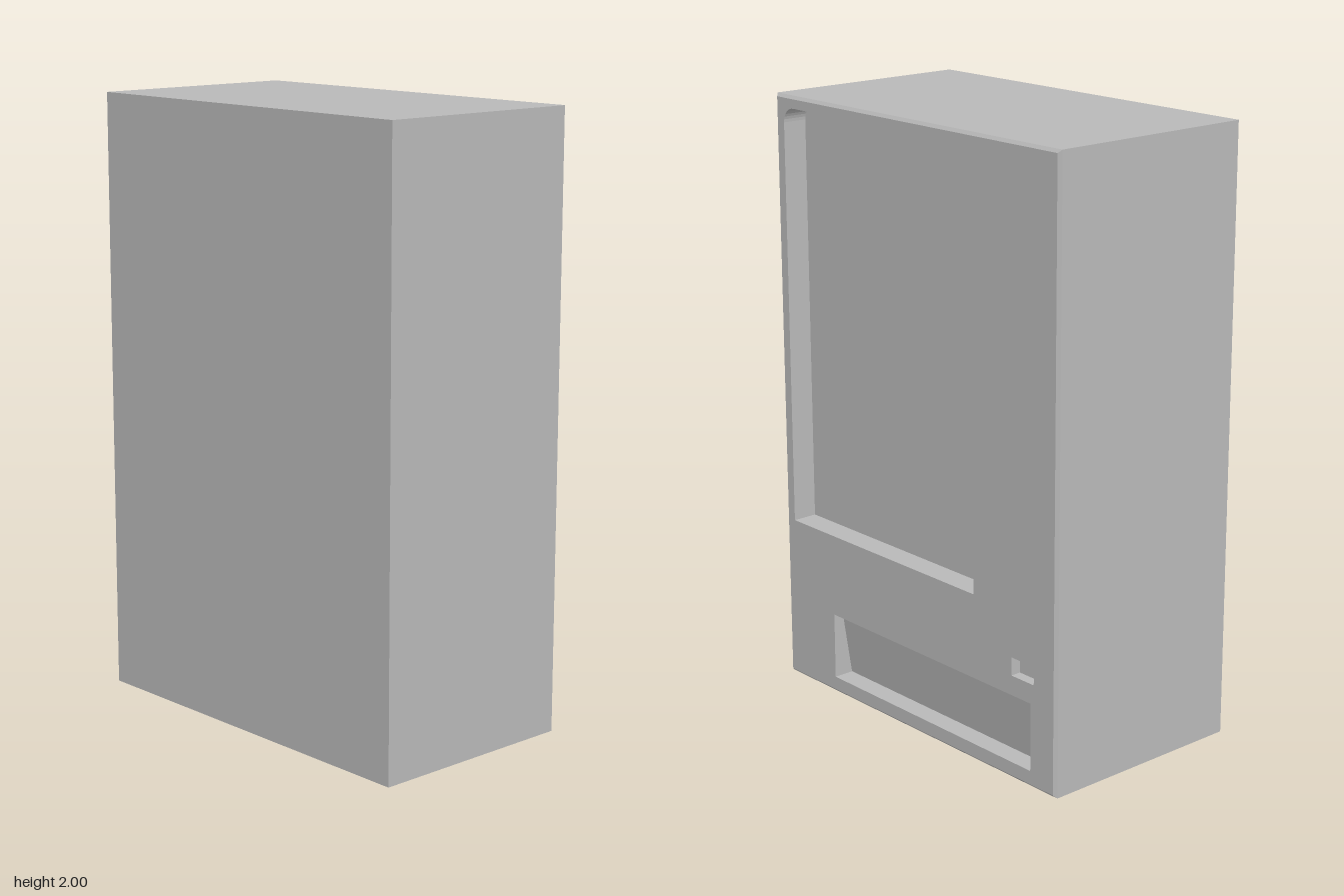
import * as THREE from 'three';

const W = 0.665, H = 2, D = 0.3675, BEVEL = 0.01;

// Outline of a panel, counter-clockwise, with optional rounded top corners
function outline(x0, x1, y0, y1, r = 0) {
  const pts = [[x0, y0], [x1, y0]];
  if (!r) return [...pts, [x1, y1], [x0, y1]];
  const steps = 8;
  for (const [cx, start] of [[x1 - r, 0], [x0 + r, Math.PI / 2]]) {
    for (let i = 0; i <= steps; i++) {
      const a = start + (i / steps) * Math.PI / 2;
      pts.push([cx + r * Math.cos(a), y1 - r + r * Math.sin(a)]);
    }
  }
  return pts;
}

// Joins rings of points with walls and closes the last ring with a cap
function loft(rings) {
  const pos = [];
  const tri = (...corners) => corners.forEach((p) => pos.push(...p));
  const n = rings[0].length;
  for (let k = 0; k < rings.length - 1; k++) {
    for (let i = 0; i < n; i++) {
      const j = (i + 1) % n;
      const a = rings[k][i], b = rings[k][j], c = rings[k + 1][i], d = rings[k + 1][j];
      tri(a, c, b);
      tri(b, c, d);
    }
  }
  const last = rings[rings.length - 1];
  for (let i = 1; i < n - 1; i++) tri(last[0], last[i + 1], last[i]);
  const geometry = new THREE.BufferGeometry();
  geometry.setAttribute('position', new THREE.Float32BufferAttribute(pos, 3));
  geometry.computeVertexNormals();
  return geometry;
}

const atZ = (pts, z) => pts.map(([x, y]) => [x, y, z]);

export function createModel() {
  const group = new THREE.Group();
  const grey = new THREE.MeshStandardMaterial({ color: 0xb8b8b8 });
  grey.name = 'cabinet grey';

  // Detailed face is modelled towards local +z, then turned to the back
  const cabinet = new THREE.Group();
  cabinet.name = 'cabinet';
  cabinet.rotation.y = Math.PI;
  group.add(cabinet);

  const add = (name, geometry) => {
    const mesh = new THREE.Mesh(geometry, grey);
    mesh.name = name;
    cabinet.add(mesh);
  };

  // Case with a narrow bevel around the service face
  const full = outline(-W, W, 0, H);
  const inset = outline(-W + BEVEL, W - BEVEL, BEVEL, H - BEVEL);
  add('case', loft([atZ(inset, D), atZ(full, D - BEVEL), atZ(full, -D)]));

  // Recesses: outline, depth at the bottom, depth at the top
  const recesses = [
    ['displayRecess', [-0.622, 0.29, 0.56, 1.96, 0.05], 0.085, 0.085],
    ['dispenserTray', [-0.416, 0.553, 0.055, 0.28], 0.07, 0.035],
    ['coinReturn', [0.466, 0.567, 0.345, 0.405], 0.035, 0.035],
  ];

  const toShape = (pts, Type) => new Type(pts.map(([x, y]) => new THREE.Vector2(x, y)));
  const face = toShape(inset, THREE.Shape);
  for (const [name, box, low, high] of recesses) {
    const rim = outline(...box).reverse();
    face.holes.push(toShape(rim, THREE.Path));
    const [, , y0, y1] = box;
    const back = rim.map(([x, y]) => [x, y, D - THREE.MathUtils.mapLinear(y, y0, y1, low, high)]);
    add(name, loft([atZ(rim, D), back]));
  }

  // Service face with openings
  add('serviceFace', new THREE.ShapeGeometry(face).translate(0, 0, D));

  return group;
}
